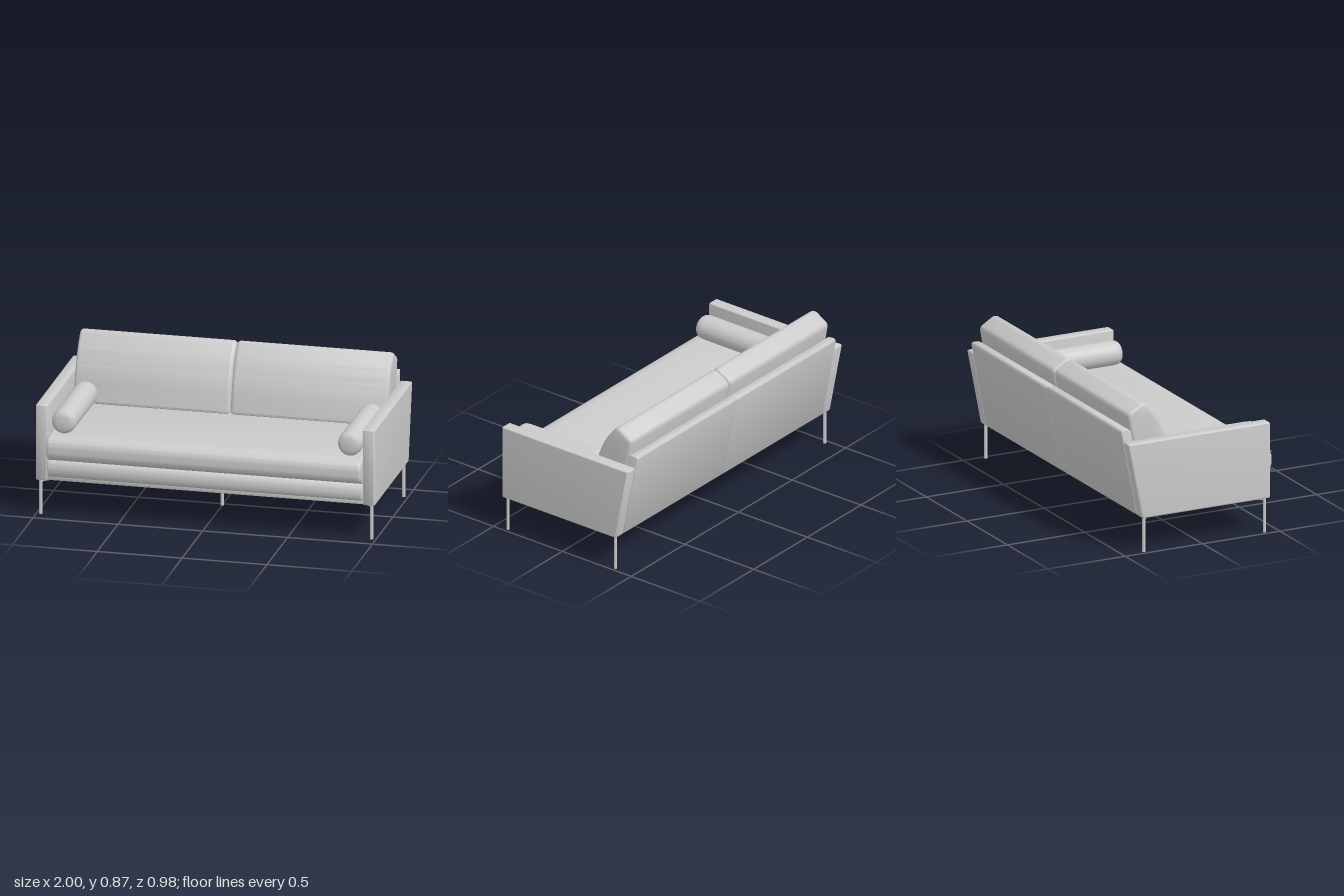
import * as THREE from 'three';
import { toCreasedNormals } from 'three/addons/utils/BufferGeometryUtils.js';

const grey = new THREE.MeshStandardMaterial({ color: 0xcccccc });

function add(parent, name, geometry) {
  const mesh = new THREE.Mesh(geometry, grey);
  mesh.name = name;
  parent.add(mesh);
  return mesh;
}

// Polygon of [z, y, cornerRadius] turned into a shape with rounded corners
function roundedProfile(points) {
  const shape = new THREE.Shape();
  const n = points.length;
  const corner = points.map(([z, y]) => new THREE.Vector2(-z, y));
  for (let i = 0; i < n; i++) {
    const c = corner[i], r = points[i][2];
    const toPrev = corner[(i + n - 1) % n].clone().sub(c).setLength(r);
    const toNext = corner[(i + 1) % n].clone().sub(c).setLength(r);
    const a = c.clone().add(toPrev), b = c.clone().add(toNext);
    if (i === 0) shape.moveTo(a.x, a.y); else shape.lineTo(a.x, a.y);
    shape.quadraticCurveTo(c.x, c.y, b.x, b.y);
  }
  shape.closePath();
  return shape;
}

// Side profile swept across x from x0 to x1, with softened ends
function sweep(points, x0, x1, bevel) {
  const geo = new THREE.ExtrudeGeometry(roundedProfile(points), {
    depth: x1 - x0 - 2 * bevel,
    curveSegments: 8,
    bevelEnabled: true,
    bevelSize: bevel,
    bevelThickness: bevel,
    bevelOffset: -bevel,
    bevelSegments: 5,
  });
  geo.rotateY(Math.PI / 2);
  geo.translate(x0 + bevel, 0, 0);
  return toCreasedNormals(geo, 0.7);
}

// Round rod between two points
function rod(parent, name, a, b, radius) {
  const dir = b.clone().sub(a);
  const mesh = add(parent, name, new THREE.CylinderGeometry(radius, radius, dir.length(), 16));
  mesh.position.copy(a).addScaledVector(dir, 0.5);
  mesh.quaternion.setFromUnitVectors(new THREE.Vector3(0, 1, 0), dir.normalize());
}

// Slim leg with a bracket running inward under the frame
function leg(parent, name, x, z, dx, dz) {
  const group = new THREE.Group();
  group.name = name;
  const top = new THREE.Vector3(x, 0.2, z);
  rod(group, 'legPost', new THREE.Vector3(x, 0, z), new THREE.Vector3(x, 0.21, z), 0.0095);
  rod(group, 'legBracket', top, new THREE.Vector3(x + dx, 0.2, z + dz), 0.009);
  parent.add(group);
}

export function createModel() {
  const sofa = new THREE.Group();
  sofa.name = 'sofa';

  // Side profiles
  const armProfile = [[0.44, 0.208, 0.012], [0.44, 0.665, 0.012], [-0.477, 0.665, 0.012], [-0.388, 0.208, 0.012]];
  const backProfile = [[-0.33, 0.21, 0.008], [-0.425, 0.73, 0.02], [-0.49, 0.735, 0.025], [-0.388, 0.21, 0.008]];
  const backCushionProfile = [
    [-0.155, 0.485, 0.02], [-0.19, 0.655, 0.06], [-0.25, 0.785, 0.05], [-0.335, 0.885, 0.035],
    [-0.442, 0.82, 0.025], [-0.425, 0.72, 0.04], [-0.375, 0.485, 0.02],
  ];
  const seatProfile = [
    [-0.37, 0.335, 0.01], [0.435, 0.335, 0.03], [0.492, 0.358, 0.04],
    [0.492, 0.462, 0.04], [0.435, 0.488, 0.03], [-0.37, 0.488, 0.01],
  ];
  const basePadProfile = [
    [0.2, 0.235, 0.005], [0.445, 0.235, 0.012], [0.462, 0.26, 0.025],
    [0.462, 0.31, 0.025], [0.445, 0.336, 0.012], [0.2, 0.336, 0.005],
  ];
  const railProfile = [[0.2, 0.213, 0.003], [0.435, 0.213, 0.003], [0.435, 0.245, 0.003], [0.2, 0.245, 0.003]];

  // Seat
  add(sofa, 'seatCushion', sweep(seatProfile, -0.928, 0.928, 0.02));
  add(sofa, 'basePad', sweep(basePadProfile, -0.928, 0.928, 0.012));
  add(sofa, 'frontRail', sweep(railProfile, -0.935, 0.935, 0.002));

  // Bolster outline, rounded at both ends
  const bolsterOutline = [
    [0, -0.292], [0.035, -0.29], [0.058, -0.284], [0.069, -0.268], [0.072, -0.24],
    [0.072, 0.24], [0.069, 0.268], [0.058, 0.284], [0.035, 0.29], [0, 0.292],
  ].map(([r, h]) => new THREE.Vector2(r, h));

  // Parts that repeat on both sides
  for (const s of [1, -1]) {
    const side = s > 0 ? 'left' : 'right';
    const span = (a, b) => (s > 0 ? [a, b] : [-b, -a]);

    add(sofa, side + 'Arm', sweep(armProfile, ...span(0.928, 1), 0.01));
    add(sofa, side + 'BackPanel', sweep(backProfile, ...span(0, 0.926), 0.004));
    add(sofa, side + 'BackCushion', sweep(backCushionProfile, ...span(0.001, 0.924), 0.022));

    const bolster = add(sofa, side + 'Bolster', new THREE.LatheGeometry(bolsterOutline, 40));
    bolster.rotation.x = Math.PI / 2;
    bolster.position.set(s * 0.843, 0.56, 0.135);

    leg(sofa, side + 'FrontLeg', s * 0.975, 0.413, -s * 0.105, -0.11);
    leg(sofa, side + 'RearLeg', s * 0.975, -0.367, -s * 0.105, 0.11);
  }
  leg(sofa, 'middleLeg', 0, 0.024, 0, -0.145);

  return sofa;
}
